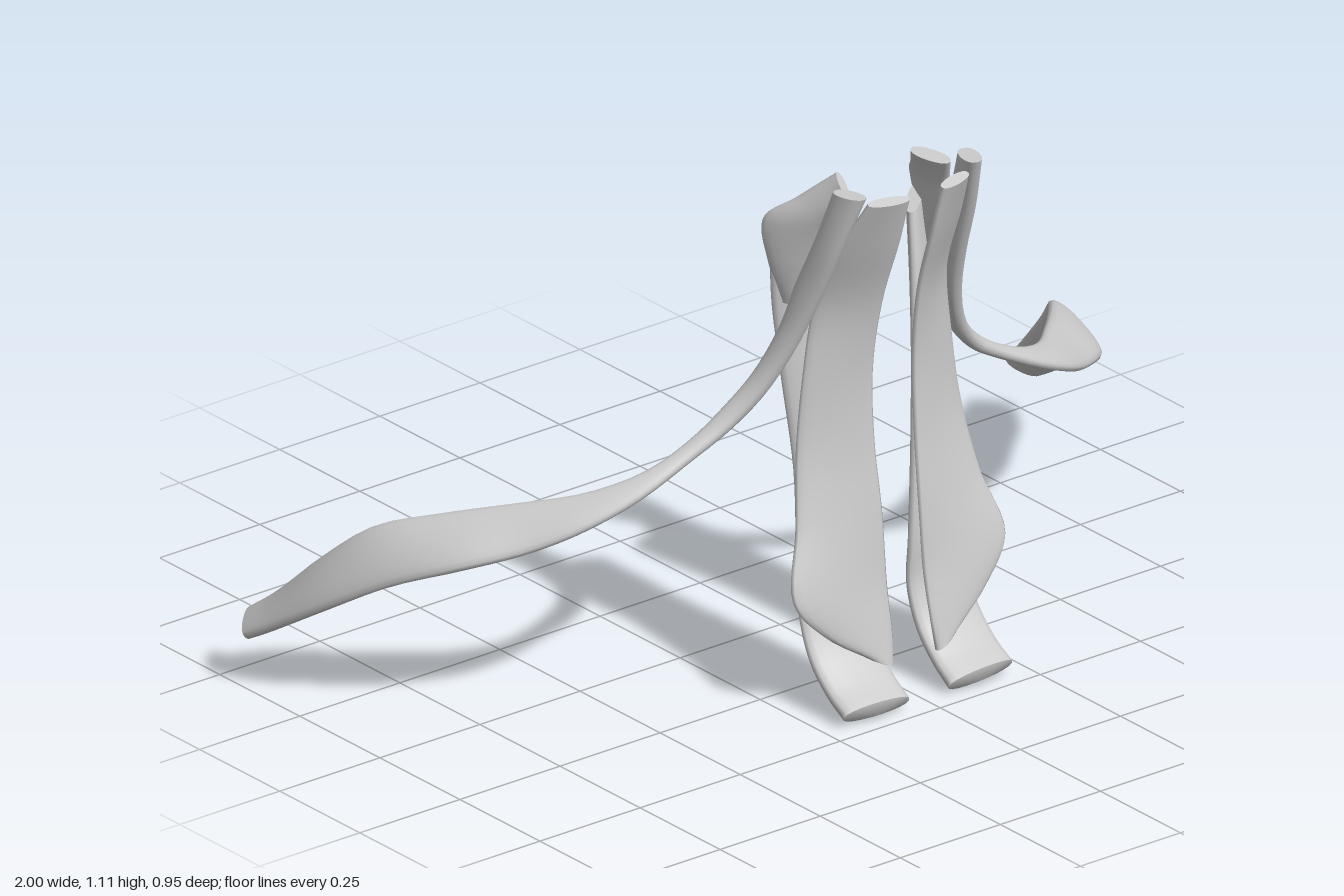
import * as THREE from 'three';

const SEG = 48, RING = 20;

// Smooth solid strap lofted between two edge curves.
// Each row: edge A xyz, edge B xyz, thickness. endBulge rounds off the last cap.
function strap(name, rows, side, material, endBulge = 0.005) {
  const curve = (o) => new THREE.CatmullRomCurve3(
    rows.map((r) => new THREE.Vector3(r[o] * side, r[o + 1], r[o + 2])), false, 'centripetal');
  const a = curve(0), b = curve(3);
  const pos = [], idx = [], centres = [], tangents = [];
  const mid = (t) => a.getPoint(t).add(b.getPoint(t)).multiplyScalar(0.5);

  for (let i = 0; i <= SEG; i++) {
    const t = i / SEG;
    const c = mid(t);
    const tan = mid(Math.min(1, t + 0.01)).sub(mid(Math.max(0, t - 0.01))).normalize();
    const w = b.getPoint(t).sub(a.getPoint(t)).multiplyScalar(0.5);
    const n = w.clone().cross(tan).normalize();
    const f = t * (rows.length - 1), k = Math.min(Math.floor(f), rows.length - 2);
    const th = THREE.MathUtils.lerp(rows[k][6], rows[k + 1][6], f - k) / 2;
    for (let j = 0; j < RING; j++) {
      const ang = (j / RING) * Math.PI * 2, s = Math.sin(ang);
      const p = c.clone().addScaledVector(w, Math.cos(ang))
        .addScaledVector(n, th * Math.sign(s) * Math.pow(Math.abs(s), 0.8));
      pos.push(p.x, p.y, p.z);
    }
    centres.push(c);
    tangents.push(tan);
  }
  for (let i = 0; i < SEG; i++) {
    for (let j = 0; j < RING; j++) {
      const p = i * RING + j, q = i * RING + (j + 1) % RING;
      idx.push(p, p + RING, q, q, p + RING, q + RING);
    }
  }
  // End caps with their own vertices, so the rims stay sharp
  for (const [row, dir, bulge] of [[0, -1, 0], [SEG, 1, endBulge]]) {
    const base = pos.length / 3;
    pos.push(...pos.slice(row * RING * 3, (row + 1) * RING * 3));
    const c = centres[row].clone().addScaledVector(tangents[row], dir * bulge);
    pos.push(c.x, c.y, c.z);
    for (let j = 0; j < RING; j++) {
      const p = base + j, q = base + (j + 1) % RING;
      if (dir < 0) idx.push(base + RING, p, q);
      else idx.push(base + RING, q, p);
    }
  }
  const g = new THREE.BufferGeometry();
  g.setAttribute('position', new THREE.Float32BufferAttribute(pos, 3));
  g.setIndex(idx);
  g.computeVertexNormals();
  const mesh = new THREE.Mesh(g, material);
  mesh.name = name;
  return mesh;
}

// Long band sweeping outward and back
const sweepingBand = [
  [0.16, 1.12, 0.37, 0.14, 1.12, 0.44, 0.04],
  [0.17, 1.0, 0.325, 0.165, 1.0, 0.395, 0.04],
  [0.185, 0.9, 0.285, 0.18, 0.88, 0.345, 0.04],
  [0.2, 0.8, 0.255, 0.205, 0.77, 0.3, 0.04],
  [0.24, 0.7, 0.22, 0.25, 0.67, 0.26, 0.035],
  [0.3, 0.63, 0.195, 0.31, 0.6, 0.23, 0.03],
  [0.36, 0.58, 0.18, 0.39, 0.55, 0.21, 0.025],
  [0.46, 0.53, 0.16, 0.5, 0.49, 0.19, 0.025],
  [0.56, 0.49, 0.1, 0.61, 0.435, 0.145, 0.03],
  [0.66, 0.46, 0, 0.7, 0.39, 0.08, 0.035],
  [0.75, 0.43, -0.1, 0.8, 0.355, 0, 0.04],
  [0.84, 0.39, -0.21, 0.88, 0.3, -0.12, 0.04],
  [0.89, 0.31, -0.3, 0.945, 0.22, -0.25, 0.04],
  [0.92, 0.2, -0.41, 0.985, 0.14, -0.38, 0.035],
  [0.94, 0.15, -0.47, 0.995, 0.115, -0.425, 0.035],
];
// Front strap, flaring outward near its slanted lower end
const frontStrap = [
  [0.04, 1.1, 0.455, 0.125, 1.1, 0.43, 0.025],
  [0.04, 1.0, 0.425, 0.15, 1.0, 0.375, 0.025],
  [0.045, 0.85, 0.375, 0.165, 0.85, 0.31, 0.025],
  [0.05, 0.7, 0.352, 0.185, 0.7, 0.3, 0.025],
  [0.05, 0.55, 0.357, 0.205, 0.55, 0.305, 0.025],
  [0.045, 0.4, 0.375, 0.23, 0.4, 0.335, 0.025],
  [0.045, 0.25, 0.39, 0.265, 0.265, 0.372, 0.025],
  [0.048, 0.15, 0.41, 0.2, 0.18, 0.39, 0.025],
  [0.055, 0.09, 0.42, 0.1, 0.11, 0.41, 0.025],
];
// Back strap, curling forward at the foot
const backStrap = [
  [0.11, 0.96, 0.27, 0.185, 0.98, 0.2, 0.03],
  [0.1, 0.85, 0.29, 0.195, 0.85, 0.215, 0.035],
  [0.085, 0.7, 0.31, 0.2, 0.7, 0.25, 0.035],
  [0.07, 0.5, 0.325, 0.195, 0.5, 0.285, 0.035],
  [0.055, 0.3, 0.335, 0.2, 0.3, 0.3, 0.035],
  [0.05, 0.2, 0.335, 0.205, 0.2, 0.315, 0.035],
  [0.05, 0.12, 0.365, 0.21, 0.12, 0.355, 0.04],
  [0.05, 0.065, 0.415, 0.21, 0.065, 0.41, 0.045],
  [0.05, 0.03, 0.465, 0.21, 0.035, 0.462, 0.05],
];
// Short upper plate behind the straps
const upperPlate = [
  [0.13, 1.1, 0.37, 0.09, 1.112, 0.295, 0.025],
  [0.14, 1.05, 0.35, 0.14, 1.055, 0.235, 0.03],
  [0.14, 1.01, 0.335, 0.185, 1.0, 0.178, 0.03],
  [0.15, 0.93, 0.31, 0.19, 0.92, 0.2, 0.03],
  [0.165, 0.85, 0.29, 0.18, 0.84, 0.235, 0.025],
];

export function createModel() {
  const model = new THREE.Group();
  model.name = 'strapMuscles';
  const grey = new THREE.MeshStandardMaterial({ color: 0xcccccc });
  grey.name = 'lightGrey';

  for (const [label, side] of [['left', 1], ['right', -1]]) {
    const half = new THREE.Group();
    half.name = label + 'Side';
    half.add(
      strap(label + 'SweepingBand', sweepingBand, side, grey),
      strap(label + 'FrontStrap', frontStrap, side, grey),
      strap(label + 'BackStrap', backStrap, side, grey, 0.012),
      strap(label + 'UpperPlate', upperPlate, side, grey),
    );
    model.add(half);
  }
  return model;
}
